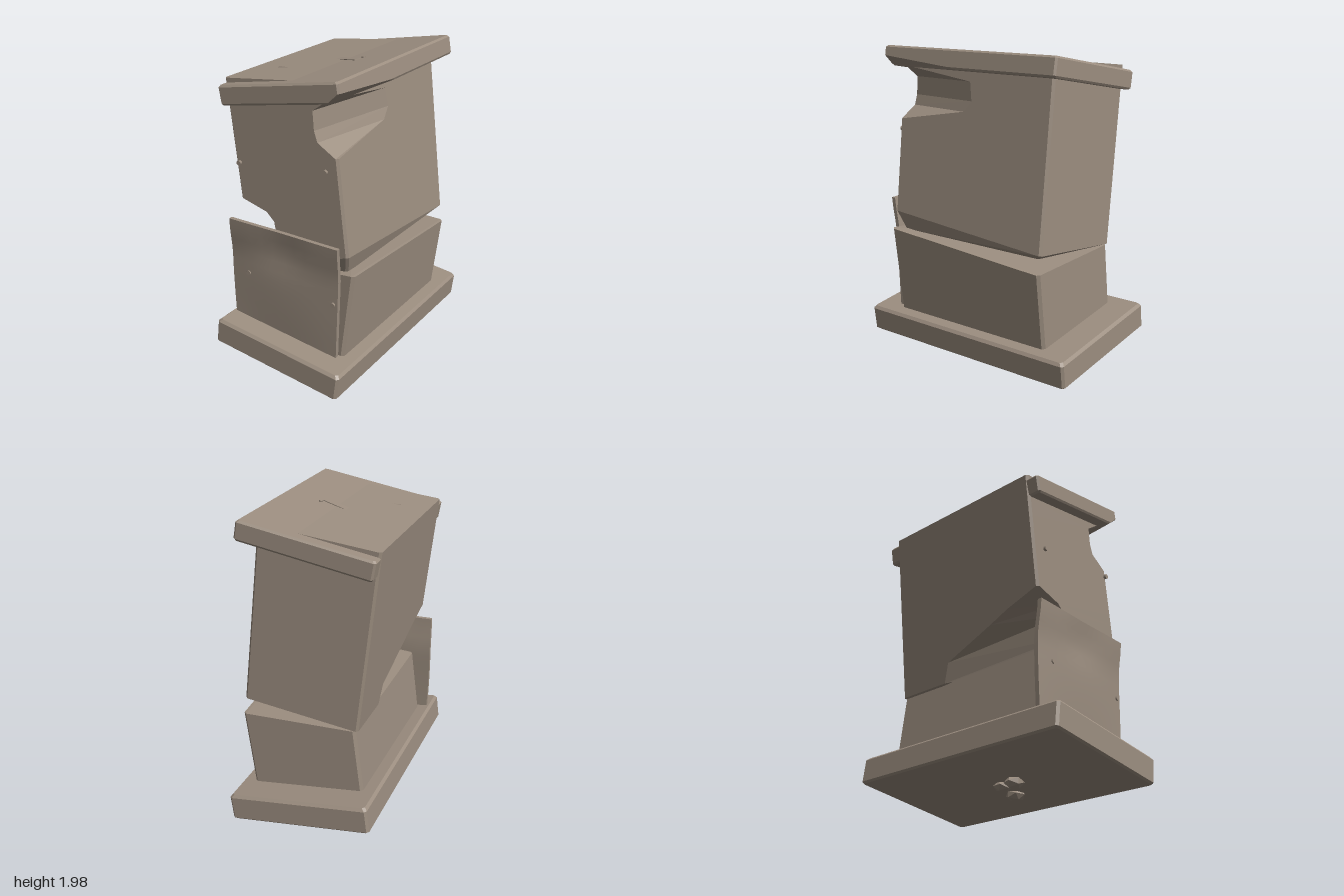
import * as THREE from 'three';

const stone = new THREE.MeshStandardMaterial({ color: 0x9c8e80 });
stone.name = 'weathered stone';

// Corner order: +x+z, +x-z, -x-z, -x+z. Each corner is cut by [cx, cz].
const SIGNS = [[1, 1], [1, -1], [-1, -1], [-1, 1]];

// Block lofted through levels, bottom to top.
// level: y (number or function of x, z), inset, cuts per corner
function block(name, hx, hz, chamfer, levels) {
  const rings = levels.map(({ y, inset = 0, cuts = {} }) => {
    const ring = [];
    SIGNS.forEach(([sx, sz], i) => {
      const [cx, cz] = cuts[i] || [chamfer, chamfer];
      const x = hx - inset, z = hz - inset;
      const pair = [[sx * (x - cx), sz * z], [sx * x, sz * (z - cz)]];
      if (i % 2) pair.reverse();
      for (const [px, pz] of pair) {
        ring.push([px, typeof y === 'function' ? y(px, pz) : y, pz]);
      }
    });
    return ring;
  });
  const pos = [];
  const tri = (a, b, c) => pos.push(...a, ...b, ...c);
  for (let r = 0; r < rings.length - 1; r++) {
    const lo = rings[r], hi = rings[r + 1];
    for (let i = 0; i < 8; i++) {
      const j = (i + 1) % 8;
      tri(lo[i], lo[j], hi[j]);
      tri(lo[i], hi[j], hi[i]);
    }
  }
  const bottom = rings[0], top = rings[rings.length - 1];
  for (let i = 1; i < 7; i++) {
    tri(top[0], top[i], top[i + 1]);
    tri(bottom[0], bottom[i + 1], bottom[i]);
  }
  const g = new THREE.BufferGeometry();
  g.setAttribute('position', new THREE.Float32BufferAttribute(pos, 3));
  g.computeVertexNormals();
  return part(name, g);
}

function part(name, geometry, x = 0, y = 0, z = 0) {
  const m = new THREE.Mesh(geometry, stone);
  m.name = name;
  m.position.set(x, y, z);
  return m;
}

function tilted(name, x, y, angle) {
  const g = new THREE.Group();
  g.name = name;
  g.position.set(x, y, 0);
  g.rotation.z = angle;
  return g;
}

// Thin front slab, bowed and flaring forward at the top
function frontSlab() {
  const g = new THREE.BoxGeometry(0.81, 1, 0.028, 10, 10, 1);
  const p = g.attributes.position;
  for (let i = 0; i < p.count; i++) {
    const x = p.getX(i), t = p.getY(i) + 0.5, z = p.getZ(i);
    const low = 0.25 - 0.1 * x;
    const high = 0.982 - 0.012 * x;
    const y = low + (high - low) * t;
    const flare = 0.028 * THREE.MathUtils.smoothstep(y, 0.72, 0.99);
    const dent = 0.018 * Math.exp(-(x * x) / 0.03 - (y - 0.85) ** 2 / 0.012);
    const bow = 0.012 * Math.cos(x * 3.8) * Math.sin(Math.PI * t);
    const side = x > 0 ? -0.03 * (1 - t) * x / 0.4 : -0.008 * Math.sin(Math.PI * t);
    p.setXYZ(i, x - 0.018 + side, y, 0.63 + z + flare + bow - dent);
  }
  g.computeVertexNormals();
  return part('frontSlab', g);
}

export function createModel() {
  const model = new THREE.Group();
  model.name = 'brokenPillar';

  // Plinth and lower shaft lean to one side together
  const lower = tilted('lowerHalf', 0, 0.165, -0.128);
  lower.add(block('plinth', 0.47, 0.805, 0.015, [
    { y: -0.088, inset: 0.012 }, { y: -0.076 }, { y: 0.07 }, { y: 0.088, inset: 0.016 },
  ]));
  const breakHeight = (x, z) => (x > 0 ? 0.63 + 0.075 * z : 0.515 + 0.01 * z);
  lower.add(block('lowerShaft', 0.378, 0.605, 0.018, [{ y: 0.08 }, { y: breakHeight }]));
  model.add(lower);

  // Upper shaft leans the other way, with a chipped shoulder and a broken foot
  const upper = tilted('upperHalf', -0.08, 1.923, 0.113);
  const foot = [0.25, 0.82];
  upper.add(block('upperShaft', 0.382, 0.605, 0.015, [
    { y: -1.19, inset: 0.05, cuts: { 3: foot } },
    { y: (x, z) => (x > 0 ? -1.115 + 0.075 * z : -1.17), cuts: { 3: foot } },
    { y: -1.04, cuts: { 3: [0.25, 0.78] } },
    { y: -0.9, cuts: { 3: [0.24, 0.4] } },
    { y: -0.84, cuts: { 3: [0.19, 0.25] } },
    { y: -0.77 },
    { y: -0.45 },
    { y: -0.36, cuts: { 0: [0.13, 0.54] } },
    { y: -0.29, cuts: { 0: [0.145, 0.6] } },
    { y: -0.17, cuts: { 0: [0.14, 0.58] } },
    { y: -0.1 },
    { y: 0 },
  ]));
  model.add(upper);

  // Tilted capstone with a chip under one corner
  const cap = tilted('capstone', -0.017, 1.863, 0.174);
  cap.add(block('capSlab', 0.433, 0.682, 0.012, [
    { y: -0.0625, inset: 0.008, cuts: { 0: [0.09, 0.6] } },
    { y: -0.05, cuts: { 0: [0.08, 0.55] } },
    { y: -0.005 },
    { y: 0.05 },
    { y: 0.0625, inset: 0.012 },
  ]));
  const strip = part('topStrip', new THREE.BoxGeometry(0.36, 0.006, 0.05), 0, 0.064, 0);
  strip.rotation.y = -0.31;
  cap.add(strip);
  const shard = part('topShard', new THREE.ConeGeometry(0.022, 0.21, 3), -0.15, 0.062, 0.3);
  shard.rotation.z = -Math.PI / 2 - 0.08;
  cap.add(shard);
  for (const x of [-0.2, 0.18]) {
    cap.add(part('topPin', new THREE.CylinderGeometry(0.012, 0.012, 0.014, 6), x, 0.064, 0));
  }
  model.add(cap);

  model.add(frontSlab());

  // Front pins
  for (const [x, y, z] of [[-0.34, 1.37, 0.647], [0.29, 1.44, 0.647], [-0.3, 0.625, 0.65], [0.34, 0.585, 0.648]]) {
    const pin = part('frontPin', new THREE.CylinderGeometry(0.017, 0.017, 0.016, 6), x, y, z);
    pin.rotation.x = Math.PI / 2;
    model.add(pin);
  }

  // Pebbles trapped under the plinth
  for (const [x, y, z, r] of [[0.145, 0.047, -0.03, 0.066], [-0.01, 0.065, 0.0, 0.062], [-0.04, 0.06, 0.12, 0.066]]) {
    const pebble = part('pebble', new THREE.IcosahedronGeometry(r, 0), x, y, z);
    pebble.scale.y = 0.6;
    pebble.rotation.y = x * 9;
    model.add(pebble);
  }
  return model;
}
